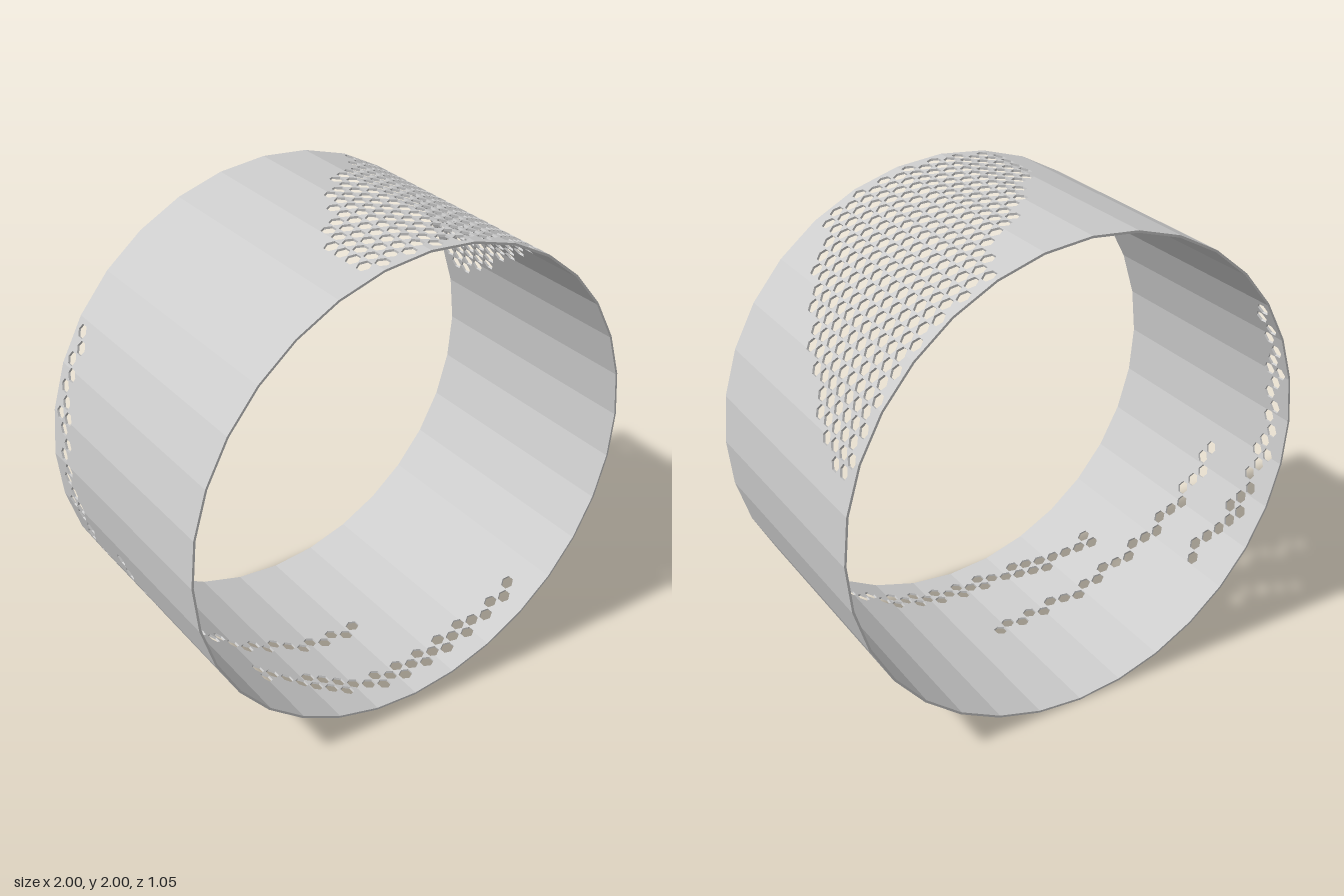
import * as THREE from 'three';

const SIDES = 32, R = 0.998, HALF = 0.524, WALL = 0.009;
const STEP = (2 * Math.PI) / SIDES;
const WIDTH = 2 * R * Math.sin(STEP / 2);      // width of one flat panel
const APOTHEM = R * Math.cos(STEP / 2);
const HEX = 0.029, PITCH_Z = 0.0635, PITCH_A = 0.0565;

// piecewise-linear lookup in a short list of [key, value] pairs with rising keys
function lerp(list, t) {
  if (t <= list[0][0]) return list[0][1];
  for (let i = 1; i < list.length; i++) {
    const [a, va] = list[i - 1], [b, vb] = list[i];
    if (t <= b) return va + (vb - va) * (t - a) / (b - a);
  }
  return list[list.length - 1][1];
}

// wide diagonal patch on top: angle limits (from the top, towards +x) along z
const PATCH_LO = [[-0.52, 0.36], [-0.36, 0.34], [-0.3, 0.26], [-0.2, 0.1], [-0.05, -0.02], [0.07, -0.08], [0.2, -0.21], [0.3, -0.25]];
const PATCH_HI = [[-0.52, 1.28], [-0.4, 1.27], [-0.25, 1.18], [-0.1, 1.05], [0, 0.98], [0.1, 0.91], [0.2, 0.84], [0.3, 0.71], [0.38, 0.61]];
// narrow trails below and up the -x side: [angle, z]
const q = Math.PI;
const TRAILS = [
  [[q - 0.68, 0.4], [q + 0.2, 0.37], [q + 0.33, 0.3], [q + 0.62, 0.21]],
  [[q - 0.08, 0.06], [q + 0.45, 0.02], [q + 0.9, -0.06], [q + 1.27, -0.13]],
  [[q + 0.8, -0.29], [q + 1.1, -0.38], [q + 1.57, -0.43], [q + 2.15, -0.48]],
];
const TRAIL_HALF = [0.042, 0.034, 0.036];

function isHole(a, z) {
  if (a < 1.5) return a > lerp(PATCH_LO, z) - 0.01 && a < lerp(PATCH_HI, z) + 0.01;
  return TRAILS.some((t, i) => a > t[0][0] && a < t[t.length - 1][0] &&
    Math.abs(z - lerp(t, a)) < TRAIL_HALF[i]);
}

// staggered lattice of hexagonal holes: s is the distance around the ring
function holeCentres() {
  const holes = [];
  for (let j = -6; j < 95; j++) {
    for (let k = -9; k <= 9; k++) {
      const a = j * PITCH_A, z = (k + (j % 2 ? 0.5 : 0)) * PITCH_Z;
      if (Math.abs(z) < 0.505 && isHole(a, z)) holes.push({ s: a / STEP * WIDTH, y: -z });
    }
  }
  return holes;
}

// hexagon from lower right, clockwise to upper right; pointed along the ring's axis
function hexPoints(u, y) {
  const w = HEX * 0.866, h = HEX / 2, lim = HALF - 0.004;
  return [[w, -h], [0, -HEX], [-w, -h], [-w, h], [0, HEX], [w, h]].map(([x, v]) =>
    new THREE.Vector2(u + x, THREE.MathUtils.clamp(y + v, -lim, lim)));
}

// part of a hexagon left of the line x = b, as a bottom-to-top notch in that edge
function notch(u, y, b) {
  const pts = hexPoints(u, y), out = [];
  for (let i = 0; i < 6; i++) {
    const p = pts[i], n = pts[(i + 1) % 6];
    if (p.x < b) out.push(p);
    if (i < 5 && (p.x < b) !== (n.x < b)) out.push(p.clone().lerp(n, (b - p.x) / (n.x - p.x)));
  }
  return out;
}

// one flat panel with its holes; holes on a fold become notches in both panels
function panelShape(holes) {
  const b = WIDTH / 2, w = HEX * 0.866;
  const edge = (sign) => {
    const line = [new THREE.Vector2(b, -HALF)];
    holes.filter((h) => Math.abs(h.u * sign - b) < w - 1e-4).sort((p, r) => p.y - r.y)
      .forEach((h) => line.push(...notch(h.u * sign, h.y, b)));
    line.push(new THREE.Vector2(b, HALF));
    return line.map((p) => new THREE.Vector2(p.x * sign, p.y));
  };
  const shape = new THREE.Shape([...edge(1), ...edge(-1).reverse()]);
  holes.filter((h) => Math.abs(h.u) <= b - w).forEach((h) =>
    shape.holes.push(new THREE.Path(hexPoints(h.u, h.y))));
  return shape;
}

export function createModel() {
  const group = new THREE.Group();
  group.name = 'perforatedRing';
  const material = new THREE.MeshStandardMaterial({ color: 0xcccccc, flatShading: true });
  const all = holeCentres();

  // flat panels folded around the axis
  for (let k = -2; k < SIDES - 2; k++) {
    const holes = all.map((h) => ({ u: h.s - (k + 0.5) * WIDTH, y: h.y }))
      .filter((h) => Math.abs(h.u) < WIDTH / 2 + HEX * 0.866 - 1e-4);
    const geo = new THREE.ExtrudeGeometry(panelShape(holes), { depth: WALL, bevelEnabled: false });
    geo.rotateX(-Math.PI / 2);
    geo.translate(0, APOTHEM - WALL, 0);
    geo.rotateZ(-(k + 0.5) * STEP);
    geo.translate(0, 1, 0);
    const panel = new THREE.Mesh(geo, material);
    panel.name = 'ringPanel' + (k + 3);
    group.add(panel);
  }
  return group;
}
